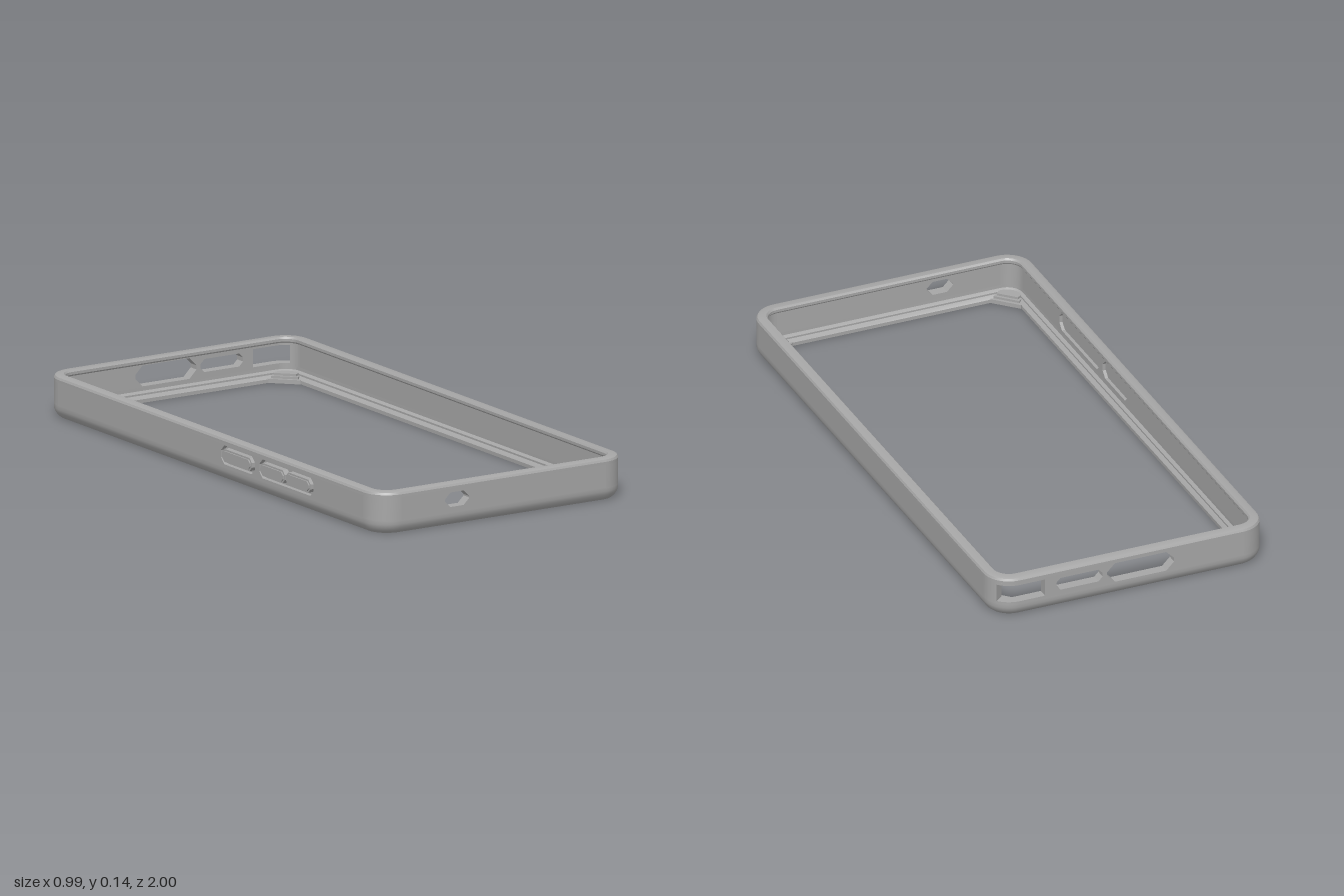
import * as THREE from 'three';
import { toCreasedNormals } from 'three/addons/utils/BufferGeometryUtils.js';

const W = 0.49, L = 1, R = 0.09, T = 0.035; // half width, half length, corner radius, wall
const Y0 = 0.045, Y1 = 0.122;               // wall band between the two rails
const RAD = Math.PI / 180;

// Points with outward normals around corner k, from angle a to b (degrees)
function arc(k, a = 0, b = 90) {
  const sx = k === 0 || k === 3 ? 1 : -1, sz = k < 2 ? 1 : -1;
  const out = [];
  for (let i = 0; i <= 10; i++) {
    const p = (k * 90 + a + (b - a) * i / 10) * RAD;
    const nx = Math.cos(p), nz = Math.sin(p);
    out.push({ x: sx * (W - R) + nx * R, z: sz * (L - R) + nz * R, nx, nz });
  }
  return out;
}

// Sweeps a closed [inset, height] profile along a path
function sweep(profile, path, closed) {
  const pos = [], idx = [], n = profile.length, m = path.length;
  for (const p of path) for (const [d, y] of profile) pos.push(p.x - p.nx * d, y, p.z - p.nz * d);
  for (let i = 0; i < (closed ? m : m - 1); i++) {
    for (let j = 0; j < n; j++) {
      const a = i * n + j, b = i * n + (j + 1) % n;
      const c = ((i + 1) % m) * n + j, d = ((i + 1) % m) * n + (j + 1) % n;
      idx.push(a, c, d, a, d, b);
    }
  }
  if (!closed) {
    const e = (m - 1) * n;
    idx.push(0, 1, 2, 0, 2, 3, e, e + 2, e + 1, e, e + 3, e + 2);
  }
  const g = new THREE.BufferGeometry();
  g.setAttribute('position', new THREE.Float32BufferAttribute(pos, 3));
  g.setIndex(idx);
  return toCreasedNormals(g, 0.5);
}

const band = (y0, y1) => [[0, y0], [T, y0], [T, y1], [0, y1]];

// Rectangle with chamfered corners
function chamfered(u0, u1, y0, y1, c, Type = THREE.Path) {
  const pts = [[u0 + c, y0], [u1 - c, y0], [u1, y0 + c], [u1, y1 - c], [u1 - c, y1], [u0 + c, y1], [u0, y1 - c], [u0, y0 + c]];
  return new Type(pts.map(p => new THREE.Vector2(...p)));
}

export function createModel() {
  const model = new THREE.Group();
  model.name = 'bumperFrame';
  const grey = new THREE.MeshStandardMaterial({ color: 0xa6a6a6 });
  grey.name = 'grey';
  const body = new THREE.Group();
  body.name = 'frame';
  body.position.x = 0.003;
  model.add(body);
  const add = (name, geo, parent = body) => {
    const mesh = new THREE.Mesh(geo, grey);
    mesh.name = name;
    parent.add(mesh);
    return mesh;
  };

  // Full rails: chamfered bottom with inner ledge, rounded top lip
  const loop = [0, 1, 2, 3].flatMap(k => arc(k));
  add('lowerRail', sweep([[0.022, 0], [0.058, 0], [0.058, 0.012], [0.046, 0.022], [0.046, 0.028],
    [T, 0.034], [T, Y0], [0, Y0], [0, 0.032], [0.004, 0.02], [0.012, 0.008]], loop, true));
  add('upperRail', sweep([[0, Y1], [T, Y1], [0.038, 0.127], [0.038, 0.136], [0.033, 0.142],
    [0.011, 0.142], [0.004, 0.139], [0, 0.132]], loop, true));

  // Corner walls; the back left one leaves room for the wrapped port
  for (let k = 0; k < 4; k++) add('cornerWall', sweep(band(Y0, Y1), arc(k, k === 3 ? 50 : 0), false));
  const portPath = [{ x: 0.31, z: -L, nx: 0, nz: -1 }, ...arc(3, 0, 50)];
  add('cornerPortSill', sweep(band(Y0, 0.054), portPath, false));
  add('cornerPortHead', sweep(band(0.115, Y1), portPath, false));

  // Straight walls with cutouts, turned to each side
  function wall(name, u0, u1, holes, dist, angle) {
    const s = chamfered(u0, u1, Y0, Y1, 0, THREE.Shape);
    s.holes = holes.map(h => chamfered(...h));
    const g = new THREE.ExtrudeGeometry(s, { depth: T, bevelEnabled: false });
    g.translate(0, 0, dist - T);
    add(name, g).rotation.y = angle;
  }
  const sx = W - R, sz = L - R;
  wall('frontWall', -sx, sx, [[-0.231, -0.135, 0.063, 0.112, 0.022]], L, 0);
  wall('backWall', -0.31, sx, [[-0.088, 0.152, 0.049, 0.119, 0.028], [-0.27, -0.104, 0.064, 0.108, 0.015]], L, Math.PI);
  wall('leftWall', -sz, sz, [], W, Math.PI / 2);
  wall('rightWall', -sz, sz, [[0.06, 0.262, 0.054, 0.118, 0.02], [0.288, 0.612, 0.054, 0.118, 0.02]], W, -Math.PI / 2);

  // Side buttons on thin membranes inside their openings
  function pad(name, u0, u1, y0, y1, c, from, to) {
    const g = new THREE.ExtrudeGeometry(chamfered(u0, u1, y0, y1, c, THREE.Shape), { depth: to - from, bevelEnabled: false });
    g.translate(0, 0, from);
    add(name, g).rotation.y = -Math.PI / 2;
  }
  pad('buttonMembrane', 0.06, 0.262, 0.054, 0.118, 0.02, 0.466, 0.474);
  pad('buttonMembrane', 0.288, 0.612, 0.054, 0.118, 0.02, 0.466, 0.474);
  for (const [a, b] of [[0.072, 0.25], [0.3, 0.447], [0.453, 0.6]]) {
    pad('sideButton', a, b, 0.064, 0.108, 0.014, 0.473, 0.494);
    pad('sideButtonCap', a + 0.006, b - 0.006, 0.07, 0.102, 0.011, 0.493, 0.498);
  }

  // Stepped diagonal gussets on the ledge corners
  for (const mx of [1, -1]) for (const mz of [1, -1]) {
    for (const [inset, y0, y1] of [[0, 0, 0.014], [0.014, 0.014, 0.022], [0.026, 0.022, 0.03]]) {
      const pts = [[0.43, 0.865 + inset], [0.45, 0.89 + inset / 2], [0.452, 0.93], [0.43, 0.958],
        [0.38 + inset / 2, 0.96], [0.352 + inset, 0.944]];
      const s = new THREE.Shape(pts.map(([x, z]) => new THREE.Vector2(x * mx, z * mz)));
      const g = new THREE.ExtrudeGeometry(s, { depth: y1 - y0, bevelEnabled: false });
      g.rotateX(Math.PI / 2);
      g.translate(0, y1, 0);
      add('cornerGusset', g);
    }
  }
  return model;
}
